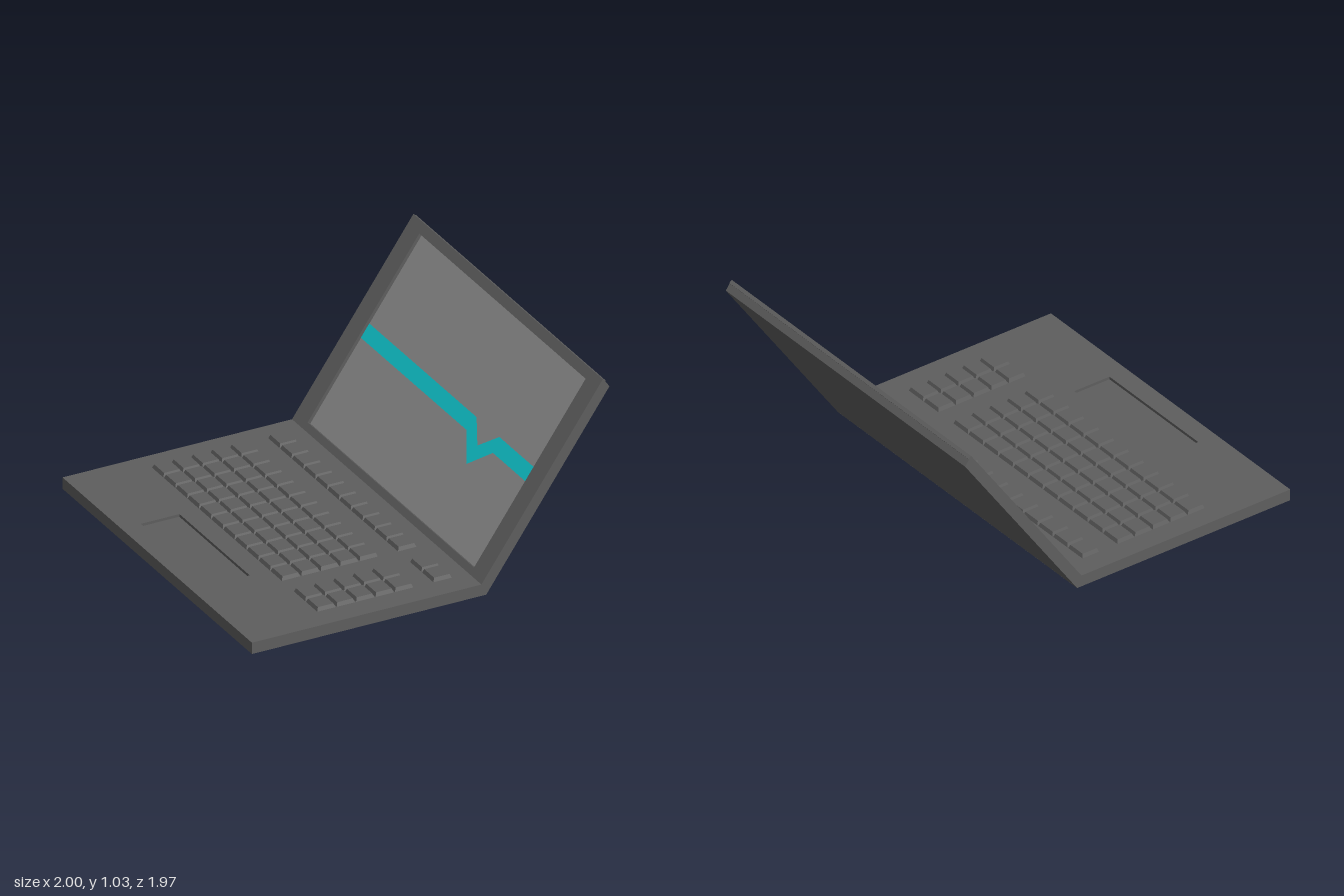
import * as THREE from 'three';

const HALF = 0.977; // half width along z
const bodyMat = new THREE.MeshStandardMaterial({ color: 0x5e5e5e });
const screenMat = new THREE.MeshStandardMaterial({ color: 0x8a8a8a });
const lineMat = new THREE.MeshStandardMaterial({ color: 0x10c4cc, side: THREE.DoubleSide });

function add(parent, name, geometry, material = bodyMat) {
  const mesh = new THREE.Mesh(geometry, material);
  mesh.name = name;
  parent.add(mesh);
  return mesh;
}

// Side profile (x, y) drawn out over the full width
function slab(points) {
  const shape = new THREE.Shape(points.map(([x, y]) => new THREE.Vector2(x, y)));
  return new THREE.ExtrudeGeometry(shape, { depth: HALF * 2, bevelEnabled: false }).translate(0, 0, -HALF);
}

// Outline in the x/z plane
function outline(points, Kind = THREE.Shape) {
  return new Kind(points.map(([x, z]) => new THREE.Vector2(x, -z)));
}

const rect = (x0, x1, z0, z1) => [[x0, z0], [x0, z1], [x1, z1], [x1, z0]];

// Top plate with a rectangular opening, from y0 upwards
function plate(x0, x1, opening, y0, depth) {
  const shape = outline(rect(x0, x1, -HALF, HALF));
  shape.holes.push(outline(rect(...opening), THREE.Path));
  return new THREE.ExtrudeGeometry(shape, { depth, bevelEnabled: false })
    .rotateX(-Math.PI / 2).translate(0, y0, 0);
}

// Key cap, narrower at its top
function keyGeometry() {
  const g = new THREE.BoxGeometry(0.103, 0.022, 0.118);
  const p = g.attributes.position;
  for (let i = 0; i < p.count; i++) {
    if (p.getY(i) > 0) p.setXYZ(i, p.getX(i) * 0.84, p.getY(i), p.getZ(i) * 0.86);
  }
  g.computeVertexNormals();
  return g;
}

export function createModel() {
  const model = new THREE.Group();
  model.name = 'laptop';
  model.rotation.y = -0.007;

  // Base with sunken touchpad
  const base = new THREE.Group();
  base.name = 'base';
  model.add(base);
  add(base, 'baseBottom', slab([[-0.993, 0], [0.31, 0], [0.291, 0.048], [-0.993, 0.048]]));
  add(base, 'baseTop', plate(-0.993, 0.291, [-0.885, -0.67, -0.37, 0.355], 0.048, 0.015));

  // Keyboard: eleven rows, a gap, then two more rows
  const keyboard = new THREE.Group();
  keyboard.name = 'keyboard';
  base.add(keyboard);
  const cap = keyGeometry();
  const columns = [0, 1, 2, 3, 4].map((i) => -0.508 + i * 0.108).concat(0.138);
  const rows = Array.from({ length: 11 }, (_, i) => -0.8 + i * 0.1222).concat(0.663, 0.787);
  for (const x of columns) {
    for (const z of rows) add(keyboard, 'key', cap).position.set(x, 0.072, z);
  }

  // Lid: local x runs up the lid, local y points out of the screen
  const lid = new THREE.Group();
  lid.name = 'lid';
  lid.position.set(0.283, 0.063, 0);
  lid.rotation.z = 0.962;
  model.add(lid);
  add(lid, 'lidBack', slab([[-0.036, -0.058], [1.162, -0.058], [1.175, -0.02], [-0.012, -0.02]]));
  add(lid, 'screenFrame', plate(-0.012, 1.18, [0.04, 1.125, -0.858, 0.858], -0.02, 0.02));
  const screen = new THREE.BoxGeometry(1.085, 0.004, 1.716);
  add(lid, 'screen', screen, screenMat).position.set(0.5825, -0.02, 0);

  // Coloured line with one kink across the screen
  const line = outline([
    [0.533, -0.857], [0.533, 0.235], [0.404, 0.37], [0.533, 0.505], [0.533, 0.857],
    [0.615, 0.857], [0.615, 0.485], [0.51, 0.37], [0.615, 0.25], [0.615, -0.857],
  ]);
  add(lid, 'screenLine', new THREE.ShapeGeometry(line).rotateX(-Math.PI / 2).translate(0, -0.016, 0), lineMat);

  return model;
}
